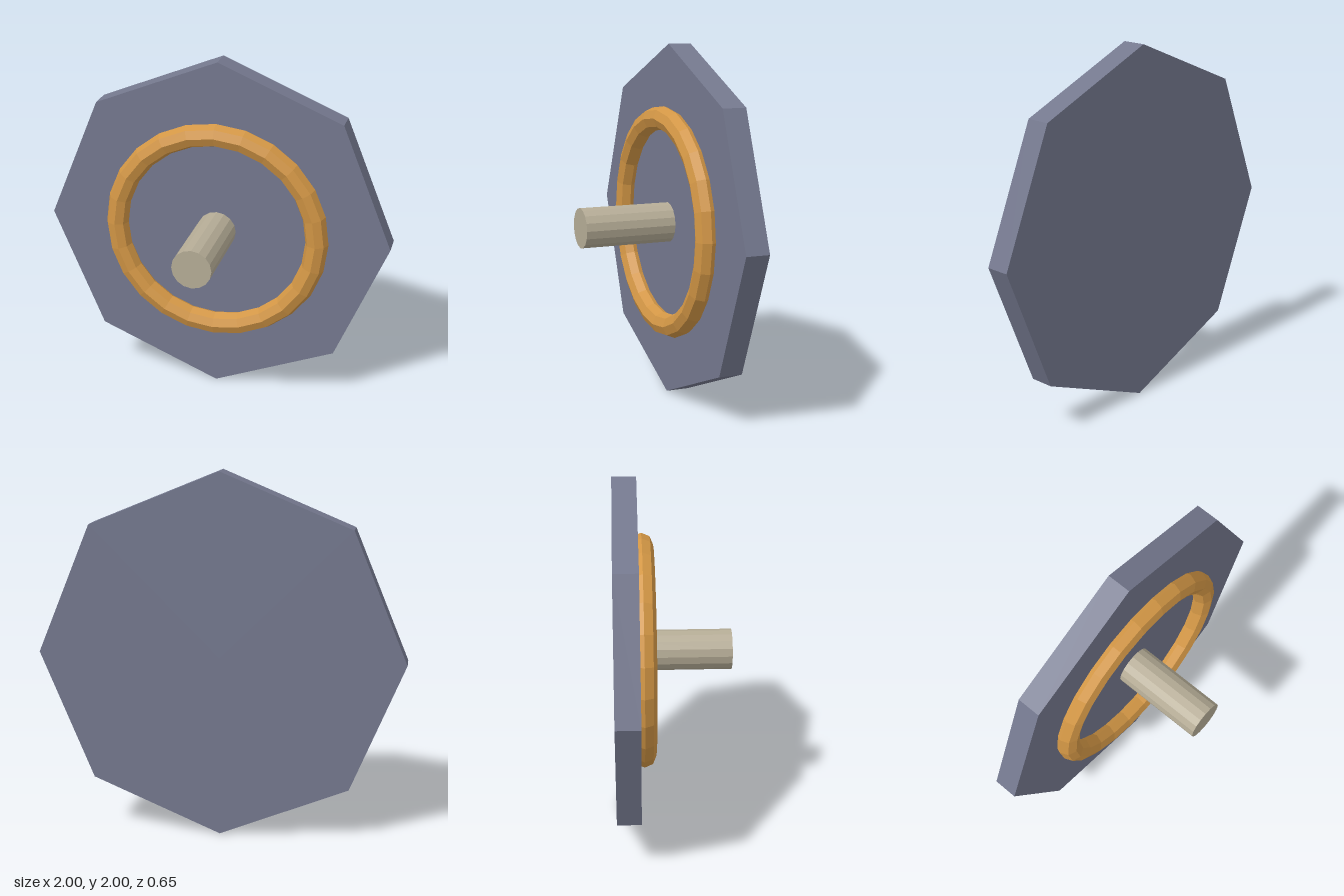
import * as THREE from 'three';

const material = (name, color) => {
  const m = new THREE.MeshStandardMaterial({ color, flatShading: true });
  m.name = name;
  return m;
};

export function createModel() {
  const group = new THREE.Group();
  group.name = 'octagonalWallMount';

  const add = (name, geometry, mat, z) => {
    const mesh = new THREE.Mesh(geometry, mat);
    mesh.name = name;
    mesh.position.set(0, 1, z);
    group.add(mesh);
  };

  // A prism lying along z, with a corner at the top
  const prism = (radius, back, front, sides) =>
    new THREE.CylinderGeometry(radius, radius, front - back, sides).rotateX(Math.PI / 2);

  // Eight-sided back plate
  add('backPlate', prism(1, -0.327, -0.195, 8), material('slate blue', 0x74788e), -0.261);

  // Raised ring, partly sunk into the plate
  add('ring', new THREE.TorusGeometry(0.59, 0.066, 8, 24), material('gold', 0xd29645), -0.17);

  // Central peg
  add('peg', prism(0.113, -0.195, 0.327, 16), material('pale stone', 0xb5ac96), 0.066);

  return group;
}
